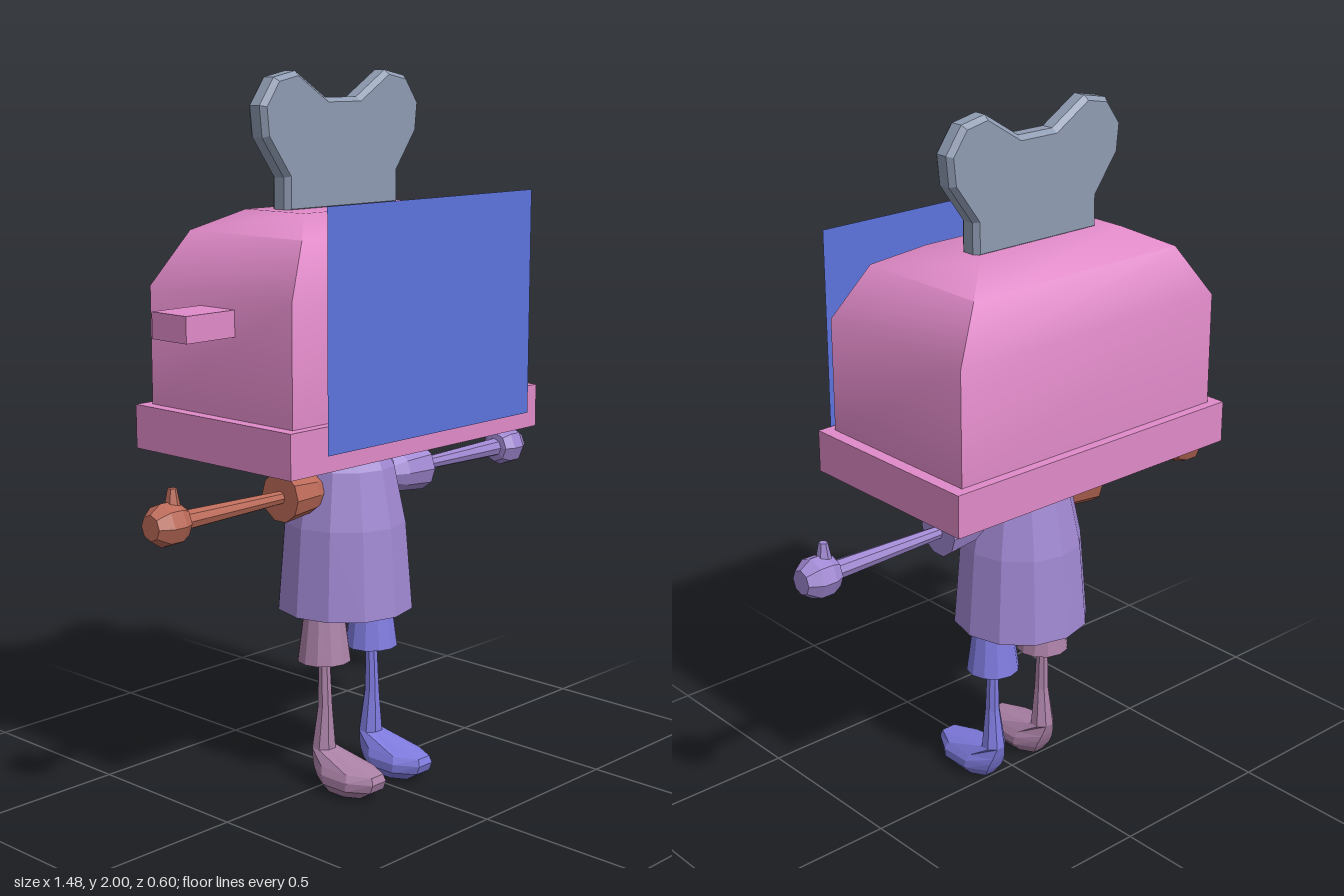
import * as THREE from 'three';
import { toCreasedNormals } from 'three/addons/utils/BufferGeometryUtils.js';

const PINK = 0xe08ac8, BLUE = 0x5c73dd, SLATE = 0x8f9bb2, PURPLE = 0xa088d2;
const RUST = 0xbc6a58, VIOLET = 0x807ce0, MAUVE = 0xac82a8;

function part(name, geometry, color, options = {}) {
  const mesh = new THREE.Mesh(geometry, new THREE.MeshStandardMaterial({ color, flatShading: true, ...options }));
  mesh.name = name;
  return mesh;
}

// Closed skin over rings of equal length, listed from bottom to top
function loft(rings) {
  const n = rings[0].length, index = [];
  for (let r = 0; r < rings.length - 1; r++) {
    for (let i = 0; i < n; i++) {
      const a = r * n + i, b = r * n + (i + 1) % n;
      index.push(a, a + n, b, b, a + n, b + n);
    }
  }
  const top = (rings.length - 1) * n;
  for (let i = 1; i < n - 1; i++) index.push(0, i, i + 1, top, top + i + 1, top + i);
  const geometry = new THREE.BufferGeometry();
  geometry.setAttribute('position', new THREE.Float32BufferAttribute(rings.flat(2), 3));
  geometry.setIndex(index);
  geometry.computeVertexNormals();
  return geometry;
}

function box(name, x0, x1, y0, y1, z0, z1) {
  const geometry = new THREE.BoxGeometry(x1 - x0, y1 - y0, z1 - z0);
  geometry.translate((x0 + x1) / 2, (y0 + y1) / 2, (z0 + z1) / 2);
  return part(name, geometry, PINK);
}

function lathe(points, sides) {
  return new THREE.LatheGeometry(points.map(([r, y]) => new THREE.Vector2(r, y)), sides);
}

function toasterHead() {
  const group = new THREE.Group();
  group.name = 'toasterHead';
  group.add(box('toasterBase', -0.535, 0.45, 1.0, 1.12, -0.3, 0.29));
  group.add(box('lever', -0.665, -0.48, 1.335, 1.405, -0.075, 0.055));

  // Housing: rectangles that shrink toward the top [y, half width, half depth]
  const levels = [[1.12, 0.457, 0.267], [1.44, 0.457, 0.267], [1.585, 0.363, 0.21], [1.64, 0.255, 0.108]];
  const rings = levels.map(([y, w, d]) =>
    [[1, -1], [1, 1], [-1, 1], [-1, -1]].map(([sx, sz]) => [-0.043 + sx * w, y, -0.005 + sz * d]));
  group.add(part('toasterHousing', toCreasedNormals(loft(rings), 0.8), PINK, { flatShading: false }));

  // Flat panel standing just ahead of the housing
  const panel = part('facePanel', new THREE.PlaneGeometry(0.813, 0.63), BLUE, { side: THREE.DoubleSide });
  panel.position.set(-0.003, 1.36, 0.297);
  group.add(panel);

  // Bread slice with a slim bevel round the crust
  const half = [[0.205, 1.642], [0.205, 1.728], [0.283, 1.835], [0.291, 1.91], [0.245, 1.974], [0.176, 1.988], [0.063, 1.918]];
  const outline = [...half, ...half.slice().reverse().map(([x, y]) => [-x, y])];
  const shape = new THREE.Shape(outline.map(([x, y]) => new THREE.Vector2(x - 0.037, y)));
  const bread = new THREE.ExtrudeGeometry(shape, {
    depth: 0.036, bevelEnabled: true, bevelThickness: 0.016, bevelSize: 0.012, bevelSegments: 1,
  });
  bread.translate(0, 0, -0.049);
  group.add(part('breadSlice', bread, SLATE));
  return group;
}

// Arm stretched sideways: sleeve, forearm with hand, thumb pointing up
function arm(side, color) {
  const group = new THREE.Group();
  group.name = side > 0 ? 'leftArm' : 'rightArm';
  const along = (geometry) => geometry.rotateZ(-side * Math.PI / 2);
  const sleeve = [[0, 0.12], [0.035, 0.125], [0.06, 0.185], [0.07, 0.28], [0, 0.28]];
  const hand = [[0.018, 0.27], [0.027, 0.635], [0.045, 0.637], [0.058, 0.665], [0.058, 0.705], [0.035, 0.74], [0, 0.74]];
  group.add(part('sleeve', along(lathe(sleeve, 10)), color));
  group.add(part('forearmAndHand', along(lathe(hand, 8)), color));
  const thumb = part('thumb', new THREE.CylinderGeometry(0.012, 0.024, 0.06, 6), color);
  thumb.position.set(side * 0.665, 0.062, 0);
  group.add(thumb);
  group.position.set(0, 0.865, -0.01);
  return group;
}

// Leg: trouser cuff, and a shank running down into a long foot
function leg(side, x, color) {
  const group = new THREE.Group();
  group.name = side > 0 ? 'leftLeg' : 'rightLeg';
  const cuff = part('trouserLeg', new THREE.CylinderGeometry(0.054, 0.077, 0.17, 12), color);
  cuff.position.set(0, 0.455, -0.006);
  group.add(cuff);
  // [y, half width, back z, front z]
  const levels = [
    [0, 0.04, 0.01, 0.15], [0.03, 0.066, -0.01, 0.197], [0.055, 0.066, -0.022, 0.207], [0.075, 0.056, -0.03, 0.2],
    [0.11, 0.034, -0.04, 0.025], [0.23, 0.02, -0.024, 0.018], [0.4, 0.015, -0.021, 0.009],
  ];
  const rings = levels.map(([y, w, back, front]) => Array.from({ length: 8 }, (_, i) => {
    const a = (i + 0.5) * Math.PI / 4, k = 1 / Math.cos(Math.PI / 8);
    return [w * k * Math.cos(a), y, (back + front) / 2 + k * (front - back) / 2 * Math.sin(a)];
  }));
  group.add(part('shankAndFoot', loft(rings), color));
  group.position.x = x;
  return group;
}

export function createModel() {
  const model = new THREE.Group();
  model.name = 'toasterFigure';
  model.add(toasterHead());

  // Bell-shaped torso
  const profile = [[0, 0.51], [0.195, 0.51], [0.175, 0.76], [0.142, 0.92], [0.1, 1.005], [0, 1.01]];
  const torso = part('torso', lathe(profile, 12), PURPLE);
  torso.position.set(-0.02, 0, -0.015);
  model.add(torso);

  model.add(arm(1, PURPLE), arm(-1, RUST));
  model.add(leg(1, 0.08, VIOLET), leg(-1, -0.115, MAUVE));
  return model;
}
